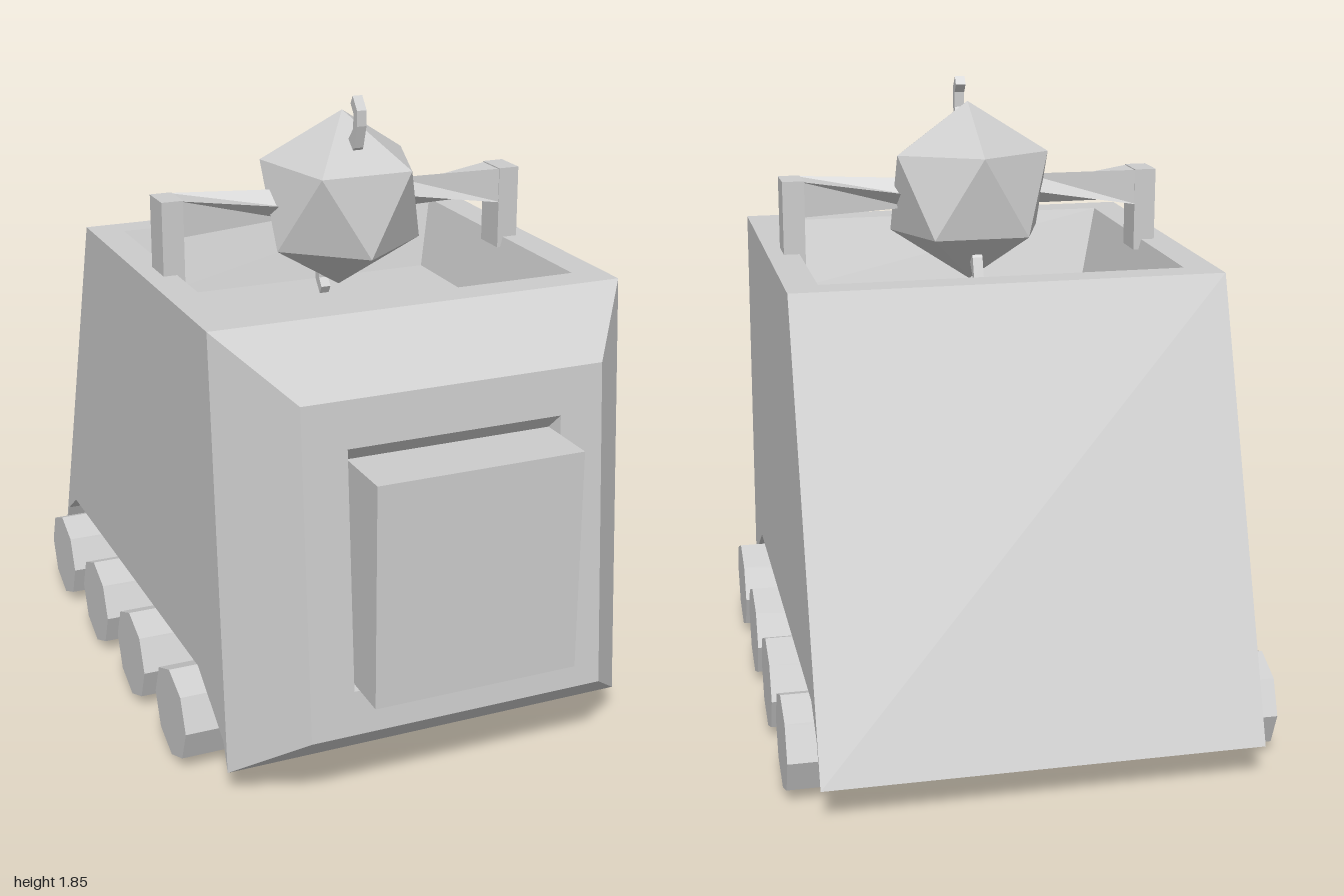
import * as THREE from 'three';

const grey = new THREE.MeshStandardMaterial({ color: 0xcccccc });
grey.name = 'plain grey';

// Flat-shaded geometry from four-cornered faces
function quadGeometry(quads) {
  const pos = [];
  for (const [a, b, c, d] of quads) pos.push(...a, ...b, ...c, ...a, ...c, ...d);
  const g = new THREE.BufferGeometry();
  g.setAttribute('position', new THREE.Float32BufferAttribute(pos, 3));
  g.computeVertexNormals();
  return g;
}

// Joins four-cornered loops in order and closes the last one
function loft(loops) {
  const quads = [];
  for (let k = 0; k + 1 < loops.length; k++) {
    const a = loops[k], b = loops[k + 1];
    for (let i = 0; i < 4; i++) {
      const j = (i + 1) % 4;
      quads.push([a[i], a[j], b[j], b[i]]);
    }
  }
  quads.push(loops[loops.length - 1]);
  return quadGeometry(quads);
}

const topLoop = (w, z0, z1, y) => [[-w, y, z1], [w, y, z1], [w, y, z0], [-w, y, z0]];
const frontLoop = (w, y0, y1, z0, z1) => [[-w, y0, z0], [w, y0, z0], [w, y1, z1], [-w, y1, z1]];

export function createModel() {
  const model = new THREE.Group();
  const add = (name, geometry, parent = model) => {
    const m = new THREE.Mesh(geometry, grey);
    m.name = name;
    parent.add(m);
    return m;
  };

  // Hull side outline as (z, y)
  const W = 0.625;
  const profile = [[0.70, 0.08], [0.61, 1.36], [-0.53, 1.36], [-1, 0.11],
    [-0.94, 0.23], [-0.84, 0.30], [0.46, 0.30], [0.67, 0.165]];
  for (const s of [-1, 1]) {
    const shape = new THREE.Shape(profile.map(([z, y]) => new THREE.Vector2(-s * z, y)));
    const g = new THREE.ShapeGeometry(shape).rotateY(s * Math.PI / 2).translate(s * W, 0, 0);
    add(s < 0 ? 'hullSideRight' : 'hullSideLeft', g);
  }

  // Sloping back and underside
  const wrap = [];
  for (let i = 2; i < profile.length; i++) {
    const [pz, py] = profile[i], [qz, qy] = profile[(i + 1) % profile.length];
    wrap.push([[-W, py, pz], [W, py, pz], [W, qy, qz], [-W, qy, qz]]);
  }
  add('hullBackAndBelly', quadGeometry(wrap));

  // Roof rim with a sunken bay
  add('roofBay', loft([
    topLoop(W, -0.53, 0.61, 1.36),
    topLoop(0.53, -0.44, 0.51, 1.36),
    topLoop(0.475, -0.38, 0.45, 1.15),
  ]));

  // Bevelled nose with a block standing out of a shallow recess
  const noseZ = (y) => 0.9 - (y - 0.24) * 0.073;
  add('nose', loft([
    frontLoop(W, 0.08, 1.36, 0.70, 0.61),
    frontLoop(0.45, 0.24, 1.20, noseZ(0.24), noseZ(1.20)),
    frontLoop(0.32, 0.37, 1.065, noseZ(0.37), noseZ(1.065)),
    frontLoop(0.306, 0.375, 1.02, noseZ(0.37) - 0.06, noseZ(1.065) - 0.04),
    frontLoop(0.306, 0.37, 1.02, 1, 1),
  ]));

  // Octagonal rollers
  for (let i = 0; i < 4; i++) {
    const g = new THREE.CylinderGeometry(0.14, 0.14, 1.4, 8).rotateZ(Math.PI / 2).toNonIndexed();
    g.computeVertexNormals();
    add('roller' + (i + 1), g).position.set(0, 0.142, 0.42 - i * 0.39);
  }

  // Faceted head, leaning slightly forward
  const turret = new THREE.Group();
  turret.name = 'turret';
  turret.position.set(0.005, 1.523, 0.03);
  model.add(turret);
  add('head', new THREE.IcosahedronGeometry(0.27), turret).rotation.x = Math.atan(1.618) + 0.045;

  // Twisted arms, each turned half round from the other
  const ring = (x, r, turn) => [0, 1, 2, 3].map((i) => {
    const t = turn + i * Math.PI / 2;
    return [x, r * Math.cos(t), r * Math.sin(t)];
  });
  for (const s of [-1, 1]) {
    const g = loft([ring(-0.52, 0.076, Math.PI / 4), ring(-0.18, 0.045, Math.PI / 2)]);
    const arm = add(s < 0 ? 'armRight' : 'armLeft', g, turret);
    if (s > 0) arm.rotation.z = Math.PI;
    // Bracket post down to the rim
    add(s < 0 ? 'postRight' : 'postLeft', new THREE.BoxGeometry(0.065, 0.25, 0.108))
      .position.set(s * 0.541 + 0.003, 1.453, 0.03);
  }

  // Hooked aerials above and below the head, as (z, y) about the head centre
  const hook = [[0.10, 0.14], [0.135, 0.18], [0.157, 0.247], [0.157, 0.293], [0.125, 0.331],
    [0.11, 0.307], [0.13, 0.282], [0.13, 0.237], [0.093, 0.197], [0.07, 0.16]];
  const hookShape = new THREE.Shape(hook.map(([z, y]) => new THREE.Vector2(z, y)));
  for (const below of [false, true]) {
    const g = new THREE.ExtrudeGeometry(hookShape, { depth: 0.03, bevelEnabled: false })
      .translate(0, 0, -0.015).rotateY(-Math.PI / 2);
    const m = add(below ? 'aerialBelow' : 'aerialAbove', g, turret);
    if (below) m.rotation.x = Math.PI;
  }

  return model;
}
